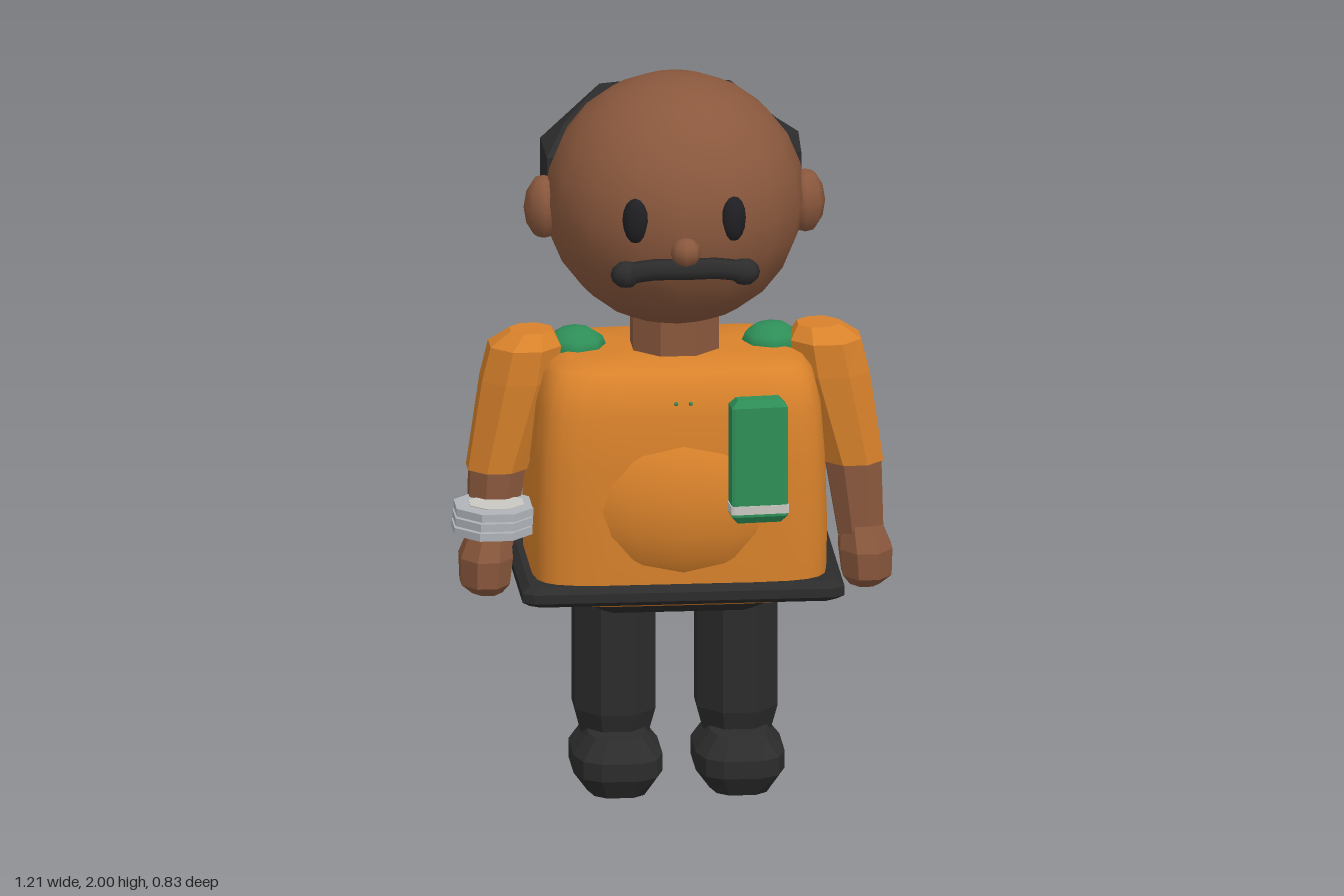
import * as THREE from 'three';
import { toCreasedNormals } from 'three/addons/utils/BufferGeometryUtils.js';

const CX = 0.015, CZ = 0.02; // middle of the figure

function makeMaterials() {
  const colours = { skin: 0x8a583d, orange: 0xd9822b, black: 0x2c2c2c, eyeBlack: 0x202024,
    green: 0x2e8f58, silver: 0xb0b4b9, cream: 0xcac8c2 };
  const mats = {};
  for (const [name, color] of Object.entries(colours)) {
    mats[name] = new THREE.MeshStandardMaterial({ color });
    mats[name].name = name;
  }
  return mats;
}

// Skins a closed solid over rings of points, with a cap at each end
function skin(rings, crease = 0.05) {
  const n = rings[0].length, pos = rings.flat(2), idx = [];
  for (let i = 0; i < rings.length - 1; i++) {
    for (let j = 0; j < n; j++) {
      const a = i * n + j, b = i * n + (j + 1) % n;
      idx.push(a, a + n, b, b, a + n, b + n);
    }
  }
  [0, rings.length - 1].forEach((r, end) => {
    const centre = pos.length / 3;
    for (let k = 0; k < 3; k++) pos.push(rings[r].reduce((s, p) => s + p[k], 0) / n);
    for (let j = 0; j < n; j++) {
      const a = r * n + j, b = r * n + (j + 1) % n;
      idx.push(centre, ...(end ? [b, a] : [a, b]));
    }
  });
  const g = new THREE.BufferGeometry();
  g.setAttribute('position', new THREE.Float32BufferAttribute(pos, 3));
  g.setIndex(idx);
  return toCreasedNormals(g, crease);
}

// Stacks horizontal superellipse rings given as [x, y, z, rx, rz]
function loft(levels, sides = 8, power = 2, crease = 0.05) {
  const bend = (v) => Math.sign(v) * Math.abs(v) ** (2 / power);
  return skin(levels.map(([x, y, z, rx, rz]) => Array.from({ length: sides }, (_, j) => {
    const t = (j + 0.5) / sides * Math.PI * 2;
    return [x + rx * bend(Math.cos(t)), y, z + rz * bend(Math.sin(t))];
  })), crease);
}

export function createModel() {
  const model = new THREE.Group();
  const figure = new THREE.Group();
  figure.name = 'figure';
  figure.position.set(CX, 0, CZ);
  model.add(figure);
  const m = makeMaterials();

  function add(name, geometry, material, x = 0, y = 0, z = 0) {
    const mesh = new THREE.Mesh(geometry, material);
    mesh.name = name;
    mesh.position.set(x, y, z);
    figure.add(mesh);
    return mesh;
  }
  function ball(name, material, [x, y, z], [rx, ry, rz], w = 8, h = 6) {
    return add(name, new THREE.SphereGeometry(1, w, h).scale(rx, ry, rz), material, x, y, z);
  }

  // Head and face
  ball('head', m.skin, [0, 1.65, 0], [0.358, 0.35, 0.35], 16, 12);
  add('neck', loft([[0, 1.18, 0, 0.128, 0.128], [0, 1.36, 0, 0.128, 0.128]]), m.skin);
  ball('nose', m.skin, [0, 1.592, 0.35], [0.042, 0.042, 0.042]);

  // Moustache: a bent bar with a knob at each end
  const bar = new THREE.CatmullRomCurve3([[-0.165, 1.53, 0.335], [-0.09, 1.545, 0.348],
    [0, 1.545, 0.352], [0.09, 1.545, 0.348], [0.165, 1.53, 0.335]]
    .map((p) => new THREE.Vector3(...p)));
  add('moustacheBar', new THREE.TubeGeometry(bar, 8, 0.03, 6), m.black);

  // Hair band wrapped around the back of the head
  const stations = [[0.35, -0.02, 1.765, 1.66], [0.355, -0.17, 1.83, 1.6],
    [0.22, -0.375, 1.89, 1.555], [0, -0.435, 1.89, 1.55]];
  const around = [...stations.map(([x, z, t, b]) => [-x, z, t, b]),
    ...stations.slice(0, 3).reverse()];
  add('hairBand', skin(around.map(([x, z, top, low]) => {
    const high = Math.min(1.78, top);
    const at = (s, y) => [x * s, y, z * s];
    return [at(1, high), at(1, Math.max(1.64, low)), at(0.78, low),
      at(0.55, low + 0.03), at(0.5, top - 0.01), at(0.82, top)];
  })), m.black);

  // Body, belly, belt and hips
  add('body', loft([[0, 0.55, 0, 0.33, 0.225], [0, 0.6, 0, 0.405, 0.28], [0, 0.75, 0, 0.408, 0.285],
    [0, 0.95, 0, 0.402, 0.285], [0, 1.1, 0, 0.39, 0.28], [0, 1.185, 0, 0.37, 0.255],
    [0, 1.215, 0, 0.345, 0.225], [0, 1.23, 0, 0.3, 0.19]], 24, 6, 0.7), m.orange);
  ball('belly', m.orange, [0, 0.84, 0.13], [0.36, 0.28, 0.2], 16, 12);
  add('belt', loft([[0, 0.57, 0, 0.425, 0.285], [0, 0.585, 0, 0.446, 0.306],
    [0, 0.61, 0, 0.446, 0.306], [0, 0.627, 0, 0.425, 0.285]], 8, 24), m.black);
  add('hips', loft([[0, 0.505, 0, 0.2, 0.13], [0, 0.55, 0, 0.265, 0.2],
    [0, 0.6, 0, 0.3, 0.21]], 8, 16), m.black);
  for (const x of [-0.02, 0.02]) ball('button', m.green, [x, 1.14, 0.278], [0.006, 0.006, 0.006], 6, 4);

  // Mirrored parts
  for (const s of [-1, 1]) {
    const side = s > 0 ? 'left' : 'right';
    ball(side + 'Ear', m.skin, [0.36 * s, 1.63, -0.01], [0.055, 0.09, 0.07]);
    ball(side + 'Eye', m.eyeBlack, [0.135 * s, 1.675, 0.312], [0.037, 0.064, 0.024], 10, 8)
      .rotation.y = 0.35 * s;
    ball(side + 'MoustacheKnob', m.black, [0.163 * s, 1.53, 0.335], [0.043, 0.038, 0.036]);
    ball(side + 'ShoulderPatch', m.green, [0.27 * s, 1.225, -0.03], [0.085, 0.055, 0.09]);

    add(side + 'Sleeve', loft([[0.49 * s, 0.895, 0, 0.088, 0.09], [0.43 * s, 1.15, 0, 0.112, 0.108],
      [0.413 * s, 1.245, 0, 0.105, 0.108], [0.395 * s, 1.285, 0, 0.062, 0.062]]), m.orange);
    add(side + 'Forearm', loft([[0.51 * s, 0.68, 0.02, 0.066, 0.068],
      [0.488 * s, 0.915, 0, 0.084, 0.086]]), m.skin);
    add(side + 'Hand', loft([[0.52 * s, 0.548, 0.025, 0.045, 0.06], [0.525 * s, 0.575, 0.025, 0.072, 0.092],
      [0.522 * s, 0.65, 0.022, 0.078, 0.1], [0.51 * s, 0.72, 0.018, 0.06, 0.07]]), m.skin);

    add(side + 'Leg', loft([[0.168 * s, 0.14, 0, 0.1, 0.115], [0.168 * s, 0.21, 0, 0.12, 0.135],
      [0.168 * s, 0.54, 0, 0.12, 0.135]]), m.black);
    add(side + 'Shoe', loft([[0.168 * s, 0, 0.055, 0.085, 0.16], [0.168 * s, 0.055, 0.055, 0.125, 0.192],
      [0.168 * s, 0.105, 0.055, 0.125, 0.192], [0.168 * s, 0.16, 0.045, 0.08, 0.155]], 12, 3.2), m.black);
  }

  // Green pouch on the chest with a pale clip near its foot
  add('chestPouch', loft([[0, -0.175, 0, 0.06, 0.02], [0, -0.155, 0, 0.078, 0.034],
    [0, 0.155, 0, 0.078, 0.034], [0, 0.175, 0, 0.06, 0.02]], 8, 16), m.green, 0.2, 0.995, 0.34)
    .rotation.y = 0.08;
  add('pouchClip', loft([[0, -0.012, 0, 0.081, 0.037], [0, 0.012, 0, 0.081, 0.037]], 8, 16),
    m.cream, 0.2, 0.86, 0.34).rotation.y = 0.08;

  // Stack of discs held at the right hand
  for (let i = 0; i < 3; i++) {
    add('disc', loft([[0, -0.011, 0, 0.118, 0.125], [0, 0.011, 0, 0.118, 0.125]]),
      m.silver, -0.51 + 0.003 * i, 0.755 + 0.027 * i, 0.105);
  }
  add('discCore', loft([[0, -0.04, 0, 0.08, 0.075], [0, 0.04, 0, 0.08, 0.075]]),
    m.cream, -0.5, 0.783, 0.105);

  return model;
}
